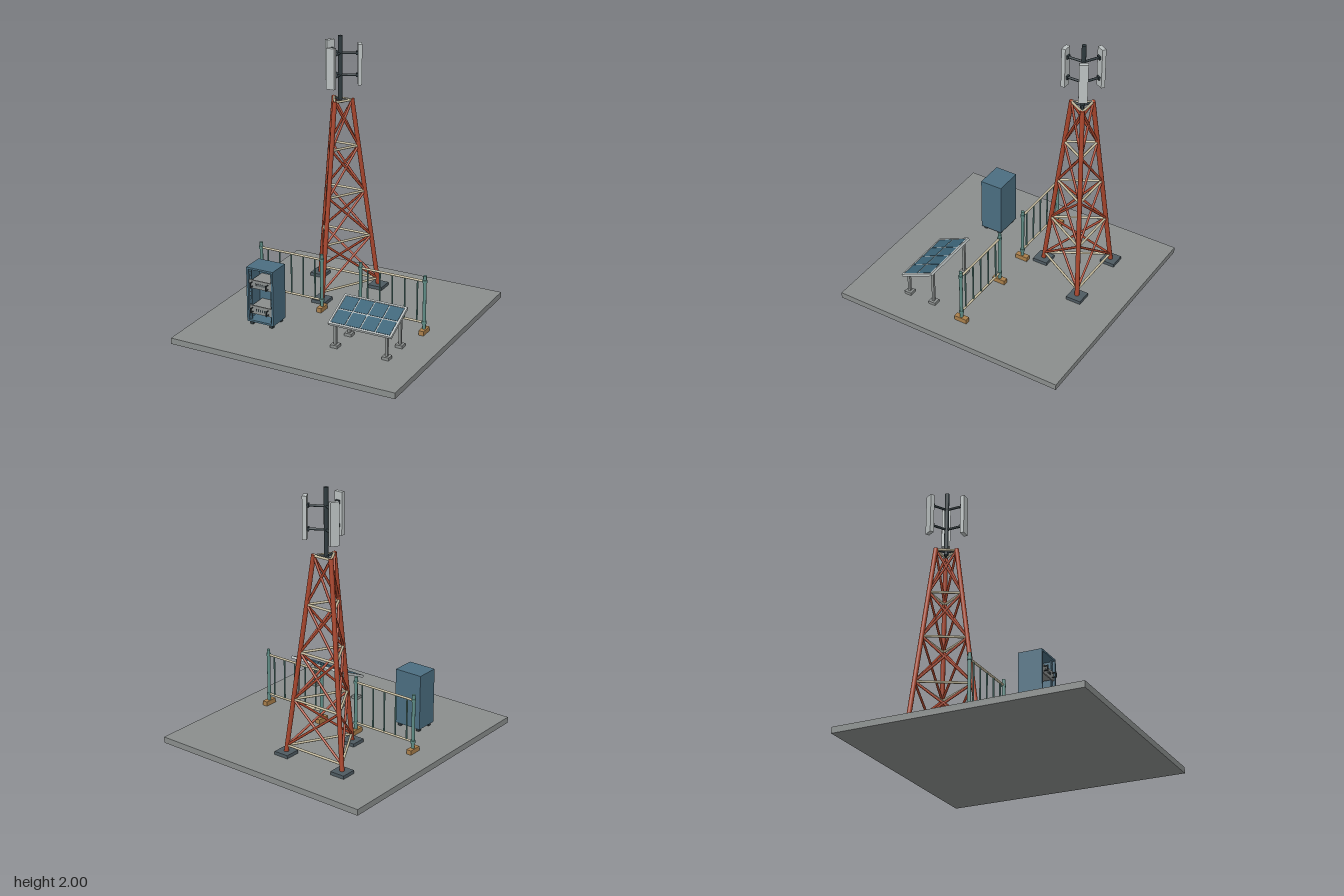
import * as THREE from 'three';

const mat = (name, color) => {
  const m = new THREE.MeshStandardMaterial({ color });
  m.name = name;
  return m;
};

export function createModel() {
  const M = {
    ground: mat('concrete grey', 0x8a8e8d),
    pad: mat('slate footing', 0x4e5a61),
    red: mat('tower red', 0xa8452c),
    cream: mat('cream', 0xc3b99c),
    dark: mat('dark steel', 0x2f3a3e),
    light: mat('light grey', 0xbcc2c2),
    teal: mat('fence teal', 0x5f8d86),
    wood: mat('wood', 0xa97f4b),
    blue: mat('cabinet blue', 0x4b6e81),
    cell: mat('solar blue', 0x3c6478),
  };
  const V = (x, y, z) => new THREE.Vector3(x, y, z);
  const root = new THREE.Group();
  const group = (name, parent = root) => {
    const g = new THREE.Group();
    g.name = name;
    parent.add(g);
    return g;
  };
  const box = (parent, name, m, w, h, d, x, y, z) => {
    const b = new THREE.Mesh(new THREE.BoxGeometry(w, h, d), m);
    b.name = name;
    b.position.set(x, y, z);
    parent.add(b);
    return b;
  };
  // Round bar between two points
  const rod = (parent, name, m, a, b, r, sides = 10) => {
    const dir = b.clone().sub(a);
    const c = new THREE.Mesh(new THREE.CylinderGeometry(r, r, dir.length(), sides), m);
    c.name = name;
    c.position.copy(a).add(b).multiplyScalar(0.5);
    c.quaternion.setFromUnitVectors(V(0, 1, 0), dir.normalize());
    parent.add(c);
    return c;
  };

  // Base slab
  box(root, 'baseSlab', M.ground, 1.75, 0.045, 1.81, 0, 0.0225, 0);

  // Three-legged lattice tower
  const tower = group('tower');
  const CX = -0.235, CZ = -0.427, Y0 = 0.06, Y1 = 1.53;
  const legPoint = (i, y) => {
    const a = (i * Math.PI * 2) / 3;
    const r = THREE.MathUtils.mapLinear(y, Y0, Y1, 0.287, 0.085);
    return V(CX + r * Math.sin(a), y, CZ + r * Math.cos(a));
  };
  const levels = [0.115, 0.468, 0.82, 1.172, 1.522];
  for (let i = 0; i < 3; i++) {
    const j = (i + 1) % 3;
    const foot = legPoint(i, Y0);
    box(tower, 'footing', M.pad, 0.115, 0.025, 0.115, foot.x, 0.0575, foot.z);
    rod(tower, 'towerLeg', M.red, foot, legPoint(i, Y1), 0.017);
    levels.forEach((y, k) => {
      rod(tower, 'crossbar', M.cream, legPoint(i, y), legPoint(j, y), 0.009, 8);
      if (k === levels.length - 1) return;
      rod(tower, 'brace', M.red, legPoint(i, y), legPoint(j, levels[k + 1]), 0.009, 8);
      rod(tower, 'brace', M.red, legPoint(j, y), legPoint(i, levels[k + 1]), 0.009, 8);
    });
    rod(tower, 'mastSpoke', M.dark, V(CX, 1.522, CZ), legPoint(i, 1.522), 0.009, 8);
  }

  // Mast with three antenna panels
  const mast = group('mast');
  rod(mast, 'mastPole', M.dark, V(CX, 1.5, CZ), V(CX, 2, CZ), 0.016, 12);
  for (let i = 0; i < 3; i++) {
    const sector = group('antennaSector', mast);
    sector.position.set(CX, 0, CZ);
    sector.rotation.y = (i * Math.PI * 2) / 3;
    box(sector, 'antennaPanel', M.light, 0.063, 0.302, 0.03, 0, 1.789, 0.141);
    for (const y of [1.708, 1.87]) {
      rod(sector, 'antennaArm', M.dark, V(0, y, 0), V(0, y, 0.126), 0.009, 8);
      box(sector, 'antennaBracket', M.dark, 0.03, 0.026, 0.014, 0, y, 0.12);
    }
  }

  // Two fence sections
  for (const x of [-0.4125, 0.4075]) {
    const fence = group('fenceSection');
    fence.position.x = x;
    for (const s of [-0.2525, 0.2525]) {
      box(fence, 'fenceFoot', M.wood, 0.04, 0.034, 0.1, s, 0.062, 0);
      rod(fence, 'fencePost', M.teal, V(s, 0.05, 0), V(s, 0.485, 0), 0.0125, 12);
      for (const y of [0.127, 0.443])
        rod(fence, 'railCollar', M.teal, V(s, y - 0.01, 0), V(s, y + 0.01, 0), 0.017, 12);
    }
    for (const y of [0.127, 0.443])
      rod(fence, 'fenceRail', M.cream, V(-0.2525, y, 0), V(0.2525, y, 0), 0.0085, 8);
    for (let k = -2; k <= 2; k++)
      rod(fence, 'fenceBar', M.teal, V(k * 0.098, 0.127, 0), V(k * 0.098, 0.443, 0), 0.006, 8);
  }

  // Open equipment cabinet
  const cabinet = group('cabinet');
  cabinet.position.set(-0.4125, 0, 0.368);
  const W = 0.216, H = 0.418, D = 0.174, T = 0.014, CY = 0.279;
  box(cabinet, 'cabinetBack', M.blue, W, H, T, 0, CY, -D / 2 + T / 2);
  for (const s of [-1, 1]) {
    box(cabinet, 'cabinetSide', M.blue, T, H, D, s * (W - T) / 2, CY, 0);
    box(cabinet, s < 0 ? 'cabinetFloor' : 'cabinetRoof', M.blue, W, T, D, 0, CY + s * (H - T) / 2, 0);
    box(cabinet, 'rackRail', M.blue, 0.016, H - 2 * T, 0.01, s * 0.086, CY, 0.064);
    for (let k = 0; k < 12; k++)
      box(cabinet, 'railHole', M.dark, 0.006, 0.006, 0.002, s * 0.086, 0.11 + k * 0.031, 0.0695);
    for (const z of [-0.06, 0.06])
      box(cabinet, 'cabinetFoot', M.dark, 0.025, 0.03, 0.025, s * 0.08, 0.058, z);
  }
  for (const y of [0.165, 0.362]) {
    box(cabinet, 'equipmentUnit', M.ground, 0.15, 0.052, 0.14, 0, y, 0);
    box(cabinet, 'unitFace', M.ground, 0.178, 0.062, 0.01, 0, y, 0.075);
    for (const s of [-1, 1]) {
      const x = s * 0.064;
      rod(cabinet, 'unitHandle', M.dark, V(x, y - 0.02, 0.108), V(x, y + 0.02, 0.108), 0.005, 8);
      for (const dy of [-0.016, 0.016])
        rod(cabinet, 'handleStub', M.dark, V(x, y + dy, 0.078), V(x, y + dy, 0.108), 0.004, 8);
    }
    for (let k = -2; k <= 2; k++)
      box(cabinet, 'unitVent', M.dark, 0.008, 0.018, 0.003, k * 0.017, y, 0.081);
  }

  // Tilted solar panel on four legs
  const solar = group('solarArray');
  solar.position.set(0.41, 0, 0.385);
  const panel = group('solarPanel', solar);
  panel.position.y = 0.281;
  panel.rotation.x = 0.43;
  box(panel, 'panelBacking', M.light, 0.486, 0.014, 0.285, 0, 0, 0);
  for (const s of [-1, 1]) {
    box(panel, 'frameSide', M.light, 0.014, 0.02, 0.285, s * 0.236, 0.001, 0);
    box(panel, 'frameEdge', M.light, 0.486, 0.02, 0.014, 0, 0.001, s * 0.1355);
    for (let k = 0; k < 4; k++)
      box(panel, 'solarCell', M.cell, 0.106, 0.005, 0.12, (k - 1.5) * 0.115, 0.0075, s * 0.0655);
  }
  for (const x of [-0.2, 0.197])
    for (const [z, top] of [[0.1, 0.232], [-0.11, 0.327]]) {
      box(solar, 'solarFoot', M.ground, 0.055, 0.022, 0.055, x, 0.056, z);
      box(solar, 'solarLeg', M.ground, 0.019, top - 0.05, 0.019, x, (top + 0.05) / 2, z);
    }

  return root;
}
